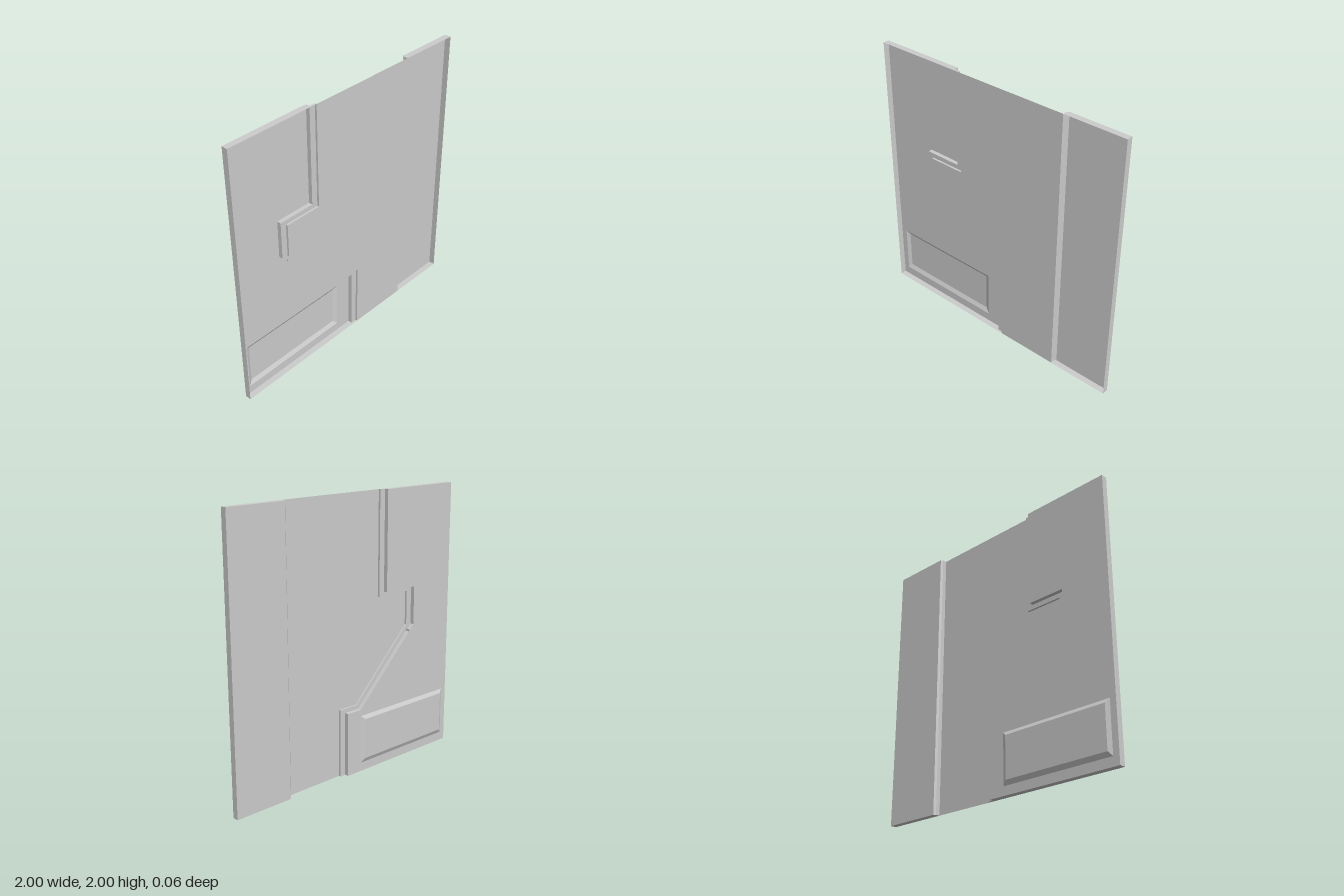
import * as THREE from 'three';

const FRONT = 0.03, LEDGE = 0.015, BACK = -0.015, BULGE = -0.03;

// Stepped seam between the raised plate and the recessed middle
const seamOuter = [[-0.345, 2], [-0.345, 1.283], [-0.625, 1.283], [-0.625, 1], [-0.597, 0.97],
  [-0.58, 0.97], [-0.58, 0.953], [-0.094, 0.47], [0.03, 0.47], [0.03, 0]];
const seamInner = [[-0.3, 2], [-0.3, 1.25], [-0.58, 1.25], [-0.58, 1], [-0.083, 0.5],
  [0.075, 0.5], [0.075, 0]];

const rect = (x0, y0, x1, y1) => [[x0, y0], [x1, y0], [x1, y1], [x0, y1]];
const vectors = (pts) => pts.map(([x, y]) => new THREE.Vector2(x, y));

// Flat sheet in the xy plane at depth z
function sheet(pts, z, hole) {
  const shape = new THREE.Shape(vectors(pts));
  if (hole) shape.holes.push(new THREE.Path(vectors(hole)));
  return new THREE.ShapeGeometry(shape).translate(0, 0, z);
}

// Flat sheet in the xz plane at height y
function cap(pts, y) {
  return new THREE.ShapeGeometry(new THREE.Shape(vectors(pts)))
    .rotateX(Math.PI / 2).translate(0, y, 0);
}

// Flat-faced strip joining two rows of 3D points
function strip(a, b, closed = false) {
  const pos = [];
  const n = a.length;
  for (let i = 0; i < (closed ? n : n - 1); i++) {
    const j = (i + 1) % n;
    pos.push(...a[i], ...b[i], ...b[j], ...a[i], ...b[j], ...a[j]);
  }
  const g = new THREE.BufferGeometry();
  g.setAttribute('position', new THREE.Float32BufferAttribute(pos, 3));
  g.computeVertexNormals();
  return g;
}
const atZ = (pts, z) => pts.map(([x, y]) => [x, y, z]);
const atY = (pts, y) => pts.map(([x, z]) => [x, y, z]);

export function createModel() {
  const model = new THREE.Group();
  model.name = 'wallPanel';
  const grey = new THREE.MeshStandardMaterial({ color: 0xcccccc, side: THREE.DoubleSide });
  grey.name = 'panelGrey';
  const add = (name, geometry) => {
    const mesh = new THREE.Mesh(geometry, grey);
    mesh.name = name;
    model.add(mesh);
  };

  // Raised plate with a rectangular opening for the pressed panel
  const opening = rect(-0.955, 0.064, -0.094, 0.423);
  const pressed = rect(-0.928, 0.096, -0.126, 0.396);
  add('raisedPlate', sheet([[-1, 0], [-1, 2], ...seamOuter], BACK, opening));
  add('pressedPanelSlopes', strip(atZ(opening, BACK), atZ(pressed, BULGE), true));
  add('pressedPanelFace', sheet(pressed, BULGE));
  add('raisedPlateSide', strip([[-1, 0, FRONT], [-1, 2, FRONT]], [[-1, 0, BACK], [-1, 2, BACK]]));

  // Two-step seam
  add('seamOuterWall', strip(atZ(seamOuter, BACK), atZ(seamOuter, LEDGE)));
  add('seamLedge', sheet([...seamOuter, ...[...seamInner].reverse()], LEDGE));
  add('seamInnerWall', strip(atZ(seamInner, LEDGE), atZ(seamInner, FRONT)));

  // Top and bottom rims of the raised plate follow the stepped edge
  for (const [name, y, xo, xi] of [['topRim', 2, -0.345, -0.3], ['bottomRim', 0, 0.03, 0.075]]) {
    add(name, cap([[-1, FRONT], [-1, BACK], [xo, BACK], [xo, LEDGE], [xi, LEDGE], [xi, FRONT]], y));
  }

  // Recessed middle sheet
  add('middleSheet', sheet([...seamInner, [0.545, 0], [0.545, 2]], FRONT));

  // Narrow side plate with a bevelled edge, open at the front
  const profile = [[0.545, FRONT], [0.545, -0.002], [0.558, BACK], [1, BACK], [1, FRONT]];
  add('sidePlate', strip(atY(profile, 0), atY(profile, 2)));
  add('sidePlateTopRim', cap(profile, 2));
  add('sidePlateBottomRim', cap(profile, 0));

  return model;
}
